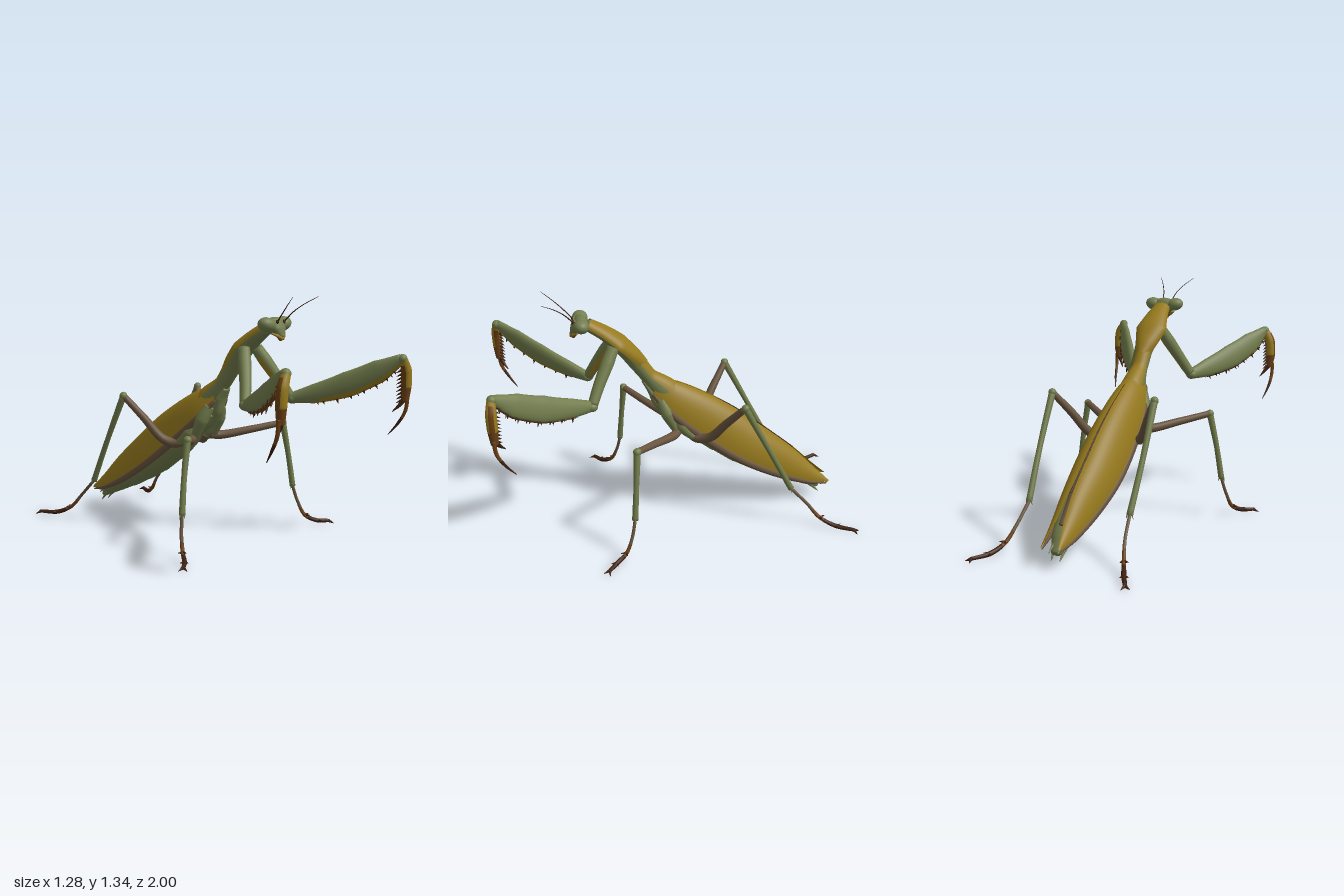
import * as THREE from 'three';

const paint = (name, color, side = THREE.FrontSide) =>
  Object.assign(new THREE.MeshStandardMaterial({ color, side }), { name });
const green = paint('leaf green', 0x727c4c);
const paleGreen = paint('eye green', 0x757f50);
const ochre = paint('ochre', 0x967a1e, THREE.DoubleSide);
const brown = paint('dusty brown', 0x69543e, THREE.DoubleSide);
const rust = paint('rust', 0x6a3f14, THREE.DoubleSide);
const dark = paint('dark red brown', 0x3e2010);
const V = (p) => new THREE.Vector3(...p);
const mx = (pts, s) => pts.map(([x, y, z]) => [x * s, y, z]);

// Grid of points (rows x cols) as a smooth surface.
function grid(name, rows, wrap, mat) {
  const n = rows[0].length, pos = rows.flat().flatMap((p) => p.toArray()), idx = [];
  for (let i = 0; i < rows.length - 1; i++) {
    for (let j = 0; j < (wrap ? n : n - 1); j++) {
      const k = (j + 1) % n, a = i * n, b = a + n;
      idx.push(a + j, b + j, a + k, b + j, b + k, a + k);
    }
  }
  const g = new THREE.BufferGeometry();
  g.setAttribute('position', new THREE.Float32BufferAttribute(pos, 3));
  g.setIndex(idx);
  g.computeVertexNormals();
  const m = new THREE.Mesh(g, mat);
  m.name = name;
  return m;
}

const lookup = (list, u) => {
  const f = u * (list.length - 1), i = Math.min(Math.floor(f), list.length - 2);
  return list[i] + (list[i + 1] - list[i]) * (f - i);
};

// Elliptical section (ra along the side vector, rb across it) swept along a curve.
function sweep(name, pts, ra, mat, o = {}) {
  const { rb = ra, side = [1, 0, 0], sides = 14, steps = 24, arc = null, from = 0, to = 1, ridges = 0 } = o;
  const curve = new THREE.CatmullRomCurve3(pts.map(V)), rows = [];
  const ring = (u, k) => {
    const c = curve.getPoint(u), t = curve.getTangent(u), a = V(side);
    a.addScaledVector(t, -a.dot(t)).normalize();
    const b = a.clone().cross(t);
    const swell = k * (ridges ? 0.97 + 0.04 * ((u * ridges) % 1) : 1);
    const [a0, a1] = arc ?? [0, 2 * Math.PI];
    return Array.from({ length: arc ? sides + 1 : sides }, (_, j) => {
      const h = a0 + (a1 - a0) * j / sides;
      return c.clone().addScaledVector(a, swell * lookup(ra, u) * Math.cos(h))
        .addScaledVector(b, swell * lookup(rb, u) * Math.sin(h));
    });
  };
  if (!arc) rows.push(ring(from, 0));
  for (let i = 0; i <= steps; i++) rows.push(ring(from + (to - from) * i / steps, 1));
  if (!arc) rows.push(ring(to, 0));
  return grid(name, rows, !arc, mat);
}

const spike = (name, a, b, r, mat = dark) => sweep(name, [a, b], [r, r * 0.1], mat, { steps: 1, sides: 6, side: [0.6, 0.3, 0.74] });

function ball(name, p, r, mat, rot = 0) {
  const m = new THREE.Mesh(new THREE.SphereGeometry(1, 24, 16), mat);
  m.position.set(...p);
  m.scale.set(...r);
  m.rotation.z = rot;
  m.name = name;
  return m;
}

function body(root) {
  const spine = [[0, 1.18, 0.47], [0, 1.125, 0.38], [0, 1.06, 0.3], [0, 0.95, 0.21], [0, 0.855, 0.14], [0, 0.77, 0.06], [0, 0.67, -0.02], [0, 0.6, -0.1]];
  const ra = [0.035, 0.058, 0.075, 0.045, 0.044, 0.062, 0.085, 0.07], rb = [0.03, 0.036, 0.042, 0.046, 0.042, 0.075, 0.095, 0.08];
  root.add(sweep('thorax', spine, ra, green, { rb, sides: 20, steps: 40 }));
  root.add(sweep('thoraxBack', spine, ra.map((r) => r + 0.003), ochre,
    { rb: rb.map((r) => r + 0.004), arc: [0.35, Math.PI - 0.35], from: 0.4, to: 0.9 }));
  root.add(sweep('pronotum',
    [[0, 1.178, 0.465], [0, 1.125, 0.38], [0, 1.06, 0.3], [0, 0.98, 0.225], [0, 0.925, 0.175]],
    [0.048, 0.068, 0.092, 0.062, 0.036], ochre,
    { rb: [0.036, 0.042, 0.05, 0.05, 0.04], arc: [-0.15, Math.PI + 0.15], steps: 30 }));
  root.add(sweep('abdomen',
    [[0, 0.72, 0.05], [0, 0.62, -0.08], [0, 0.51, -0.2], [0, 0.37, -0.4], [0, 0.25, -0.6], [0, 0.14, -0.78], [0, 0.07, -0.865]],
    [0.07, 0.095, 0.11, 0.114, 0.1, 0.065, 0.025], green,
    { rb: [0.07, 0.084, 0.102, 0.102, 0.084, 0.05, 0.015], sides: 28, steps: 80, ridges: 10 }));
  // folded hind wings seen along the seam
  root.add(sweep('hindWings', [[0, 0.5, -0.44], [0, 0.4, -0.57], [0, 0.325, -0.66], [0, 0.2, -0.8]],
    [0.005, 0.02, 0.03, 0.016], brown, { rb: [0.01, 0.015, 0.02, 0.01] }));
  root.add(sweep('wingSeam', [[0, 0.79, -0.065], [0, 0.645, -0.32], [0, 0.49, -0.52], [0, 0.34, -0.7]],
    [0.004, 0.004, 0.005, 0.005], dark, { sides: 6 }));
  root.add(sweep('chestPlate', [[0, 0.83, 0.17], [0, 0.77, 0.13], [0, 0.7, 0.1], [0, 0.62, 0.05]],
    [0.025, 0.045, 0.035, 0.015], green, { rb: [0.012, 0.02, 0.025, 0.02] }));
}

function wing(root, s) {
  // y, z along the spine and along the outer edge
  const top = [[0.85, 0.09], [0.79, -0.07], [0.645, -0.32], [0.49, -0.52], [0.34, -0.7], [0.22, -0.82], [0.118, -0.925]];
  const edge = [[0.77, 0.12], [0.665, 0.025], [0.484, -0.19], [0.336, -0.4], [0.215, -0.62], [0.138, -0.805], [0.112, -0.912]];
  const outX = [0.05, 0.092, 0.119, 0.123, 0.1, 0.073, 0.055], inX = [0.002, 0.002, 0.003, 0.004, 0.01, 0.022, 0.046];
  const curve = (list, xs) => new THREE.CatmullRomCurve3(list.map(([y, z], i) => new THREE.Vector3(s * xs[i], y, z)));
  const ct = curve(top, inX), ce = curve(edge, outX), rows = [];
  for (let i = 0; i <= 36; i++) {
    const a = ct.getPoint(i / 36), b = ce.getPoint(i / 36);
    rows.push(Array.from({ length: 13 }, (_, j) => {
      const h = j / 12 * Math.PI / 2, p = b.clone().lerp(a, Math.cos(h));
      p.x = a.x + (b.x - a.x) * Math.sin(h);
      return p;
    }));
  }
  if (s < 0) rows.forEach((r) => r.reverse());
  root.add(grid('forewing', rows, false, ochre));
  root.add(sweep('wingRim', edge.map(([y, z], i) => [s * (outX[i] - 0.004), y - 0.008, z + 0.002]),
    [0.008, 0.012, 0.012, 0.012, 0.011, 0.009, 0.003], brown, { rb: [0.012, 0.02, 0.022, 0.02, 0.018, 0.012, 0.004], sides: 10, steps: 36 }));
  root.add(spike('cercus', [s * 0.03, 0.12, -0.79], [s * 0.024, 0.035, -0.87], 0.018, green));
  root.add(spike('cercusUpper', [s * 0.02, 0.14, -0.8], [s * 0.025, 0.08, -0.89], 0.016, green));
}

function head(root) {
  const g = new THREE.Group();
  g.name = 'head';
  g.add(ball('skull', [0, 1.188, 0.5], [0.075, 0.044, 0.04], green));
  g.add(sweep('face', [[0, 1.21, 0.515], [0, 1.17, 0.533], [0, 1.13, 0.547]], [0.055, 0.045, 0.016], green,
    { rb: [0.025, 0.022, 0.014] }));
  g.add(sweep('mouth', [[0, 1.15, 0.527], [0, 1.112, 0.545]], [0.03, 0.008], rust, { rb: [0.02, 0.01], steps: 4 }));
  for (const s of [1, -1]) {
    g.add(ball('eye', [s * 0.067, 1.195, 0.5], [0.05, 0.037, 0.042], paleGreen, s * 0.2));
    g.add(sweep('cheekLine', mx([[0.052, 1.15, 0.523], [0.025, 1.136, 0.543], [0, 1.12, 0.555]], s), [0.005, 0.009, 0.008], ochre, { sides: 6, side: [0, 1, 0.3] }));
    g.add(ball('antennaBase', [s * 0.027, 1.208, 0.54], [0.008, 0.011, 0.008], dark));
    g.add(sweep('antenna', mx([[0.027, 1.208, 0.54], [0.042, 1.26, 0.59], [0.068, 1.3, 0.64], [0.106, 1.338, 0.7]], s),
      [0.004, 0.0028, 0.002, 0.001], dark, { sides: 6 }));
  }
  root.add(g);
}

function foreleg(root, s) {
  const g = new THREE.Group();
  g.name = 'raptorialLeg';
  const side = [s * 0.35, -1, 0.1];
  const coxa = mx([[0.05, 1.06, 0.335], [0.085, 0.99, 0.37], [0.14, 0.88, 0.425], [0.185, 0.795, 0.462]], s);
  const coxaR = [0.032, 0.036, 0.031, 0.028], inner = s > 0 ? Math.PI : 0;
  g.add(sweep('coxa', coxa, coxaR, green));
  g.add(sweep('coxaStripe', coxa, coxaR.map((r) => r + 0.002), ochre, { arc: [inner - 0.4, inner + 0.4], from: 0.2, to: 0.9, sides: 6 }));
  g.add(ball('trochanter', [s * 0.19, 0.787, 0.467], [0.032, 0.028, 0.032], green));
  const path = mx([[0.18, 0.785, 0.46], [0.25, 0.815, 0.57], [0.345, 0.87, 0.72], [0.43, 0.945, 0.86], [0.487, 1.015, 0.962]], s);
  const ra = [0.028, 0.052, 0.07, 0.062, 0.024], rb = [0.024, 0.028, 0.029, 0.026, 0.02];
  g.add(sweep('femur', path, ra, green, { rb, side, steps: 32, sides: 20 }));
  const strip = (name, grow, a0, a1, from, mat) => g.add(sweep(name, path, ra.map((r) => r + grow), mat,
    { rb: rb.map((r) => r + grow), side, arc: s > 0 ? [a0, a1] : [-a1, -a0], from, to: 0.97 }));
  strip('femurInnerBand', 0.003, 0, 1.05, 0.28, ochre);
  strip('femurKeel', 0.004, -0.45, 0.3, 0.2, rust);
  // spines along the lower edge of the femur
  const curve = new THREE.CatmullRomCurve3(path.map(V));
  for (let i = 0; i < 15; i++) {
    const u = 0.26 + i * 0.047, c = curve.getPoint(u), t = curve.getTangent(u), a = V(side);
    a.addScaledVector(t, -a.dot(t)).normalize();
    const across = a.clone().cross(t).multiplyScalar(i % 2 ? 0.012 : -0.012);
    const p = c.addScaledVector(a, lookup(ra, u) - 0.006).add(across);
    const tip = p.clone().addScaledVector(a, i % 3 ? 0.02 : 0.028);
    g.add(spike('femurSpine', p.toArray(), tip.toArray(), 0.008));
  }
  g.add(ball('knee', [s * 0.487, 1.012, 0.966], [0.026, 0.025, 0.025], green));
  const tibia = mx([[0.487, 1.015, 0.968], [0.516, 0.95, 0.973], [0.524, 0.87, 0.972], [0.522, 0.785, 0.968]], s);
  const tibiaR = [0.022, 0.029, 0.028, 0.02];
  g.add(sweep('tibia', tibia, tibiaR, ochre, { to: 0.72 }));
  g.add(sweep('tibiaEnd', tibia, tibiaR, rust, { from: 0.71 }));
  // darker inner and outer edges of the tibia
  for (const h of [0, Math.PI]) {
    g.add(sweep('tibiaEdge', tibia, tibiaR.map((r) => r + 0.002), rust, { arc: [h - 0.45, h + 0.45], from: 0.15, to: 0.8, sides: 6 }));
  }
  for (let i = 0; i < 9; i++) {
    const y = 0.95 - i * 0.02, x = 0.504 - (i ? 0 : 0.008);
    g.add(spike('tibiaSpine', [s * x, y, 0.957], [s * (x - 0.015), y - 0.016, 0.932], 0.008));
  }
  g.add(sweep('hook', mx([[0.522, 0.8, 0.965], [0.5, 0.765, 0.95], [0.475, 0.728, 0.92]], s), [0.016, 0.011, 0.002], dark, { sides: 8 }));
  const tarsus = mx([[0.54, 0.81, 0.972], [0.538, 0.73, 0.962], [0.528, 0.66, 0.925], [0.508, 0.595, 0.877]], s);
  const tarsusR = [0.011, 0.01, 0.008, 0.002];
  g.add(sweep('tarsus', tarsus, tarsusR, rust, { sides: 8, to: 0.5 }));
  g.add(sweep('tarsusTip', tarsus, tarsusR, dark, { sides: 8, from: 0.49 }));
  root.add(g);
}

// Walking leg: femur and tibia paths, then a jointed foot.
function walkingLeg(root, s, name, L) {
  const g = new THREE.Group();
  g.name = name;
  const knee = L.femur.at(-1), ankle = L.foot[0], toe = L.foot.at(-1);
  g.add(sweep('coxa', mx(L.coxa, s), [0.03, 0.038, 0.024], green));
  g.add(sweep('femur', mx(L.femur, s), L.femurR, brown, { side: [0.2, 0.3, 0.9] }));
  g.add(ball('knee', [s * knee[0], knee[1], knee[2]], [0.022, 0.022, 0.022], green));
  g.add(sweep('tibia', mx([knee, knee.map((k, i) => (k + ankle[i]) / 2 + (i === 0 ? 0.005 : 0)), ankle], s), [0.019, 0.015, 0.017], green));
  for (const d of [-1, 1]) {
    g.add(spike('tibiaSpur', [s * ankle[0] + d * 0.01, ankle[1] + 0.01, ankle[2]],
      [s * ankle[0] + d * 0.02, ankle[1] - 0.02, ankle[2]], 0.006, green));
  }
  const foot = mx(L.foot, s), footR = [0.009, 0.009, 0.011, 0.013, 0.01];
  g.add(sweep('tarsusUpper', foot, footR, brown, { to: 0.36, sides: 8 }));
  g.add(sweep('tarsusMiddle', foot, footR, rust, { from: 0.35, to: 0.58, sides: 8 }));
  g.add(sweep('tarsusLower', foot, footR, dark, { from: 0.57, sides: 8 }));
  const dir = V(toe).sub(V(L.foot.at(-2))).setY(0).normalize();
  dir.x *= s;
  const across = new THREE.Vector3(-dir.z, 0, dir.x);
  for (const d of [-1, 1]) {
    for (const k of [2, 3, 4]) {
      const p = V(foot[k]), q = p.clone().addScaledVector(dir, 0.025).addScaledVector(across, d * 0.022);
      q.y = Math.max(0.001, p.y + (k === 4 ? -0.012 : 0.004));
      g.add(spike(k === 4 ? 'claw' : 'tarsusLobe', p.toArray(), q.toArray(), 0.01));
    }
  }
  root.add(g);
}

export function createModel() {
  const root = new THREE.Group();
  root.name = 'mantis';
  body(root);
  head(root);
  const middle = {
    coxa: [[0.045, 0.73, 0.08], [0.07, 0.65, 0.045], [0.075, 0.555, 0]],
    femur: [[0.065, 0.545, -0.02], [0.12, 0.54, 0.015], [0.26, 0.572, 0.14], [0.39, 0.605, 0.25]],
    femurR: [0.024, 0.025, 0.021, 0.018],
    foot: [[0.457, 0.225, 0.275], [0.482, 0.13, 0.295], [0.508, 0.05, 0.33], [0.55, 0.02, 0.385], [0.605, 0.016, 0.43]],
  };
  const hind = {
    coxa: [[0.06, 0.64, -0.01], [0.08, 0.57, -0.04], [0.1, 0.51, -0.1]],
    femur: [[0.07, 0.55, -0.05], [0.105, 0.505, -0.115], [0.155, 0.53, -0.18], [0.225, 0.65, -0.26], [0.3, 0.772, -0.343]],
    femurR: [0.025, 0.028, 0.026, 0.022, 0.018],
    foot: [[0.29, 0.24, -0.625], [0.308, 0.14, -0.72], [0.335, 0.06, -0.79], [0.375, 0.02, -0.875], [0.425, 0.016, -0.97]],
  };
  for (const s of [1, -1]) {
    wing(root, s);
    foreleg(root, s);
    walkingLeg(root, s, 'middleLeg', middle);
    walkingLeg(root, s, 'hindLeg', hind);
  }
  return root;
}
